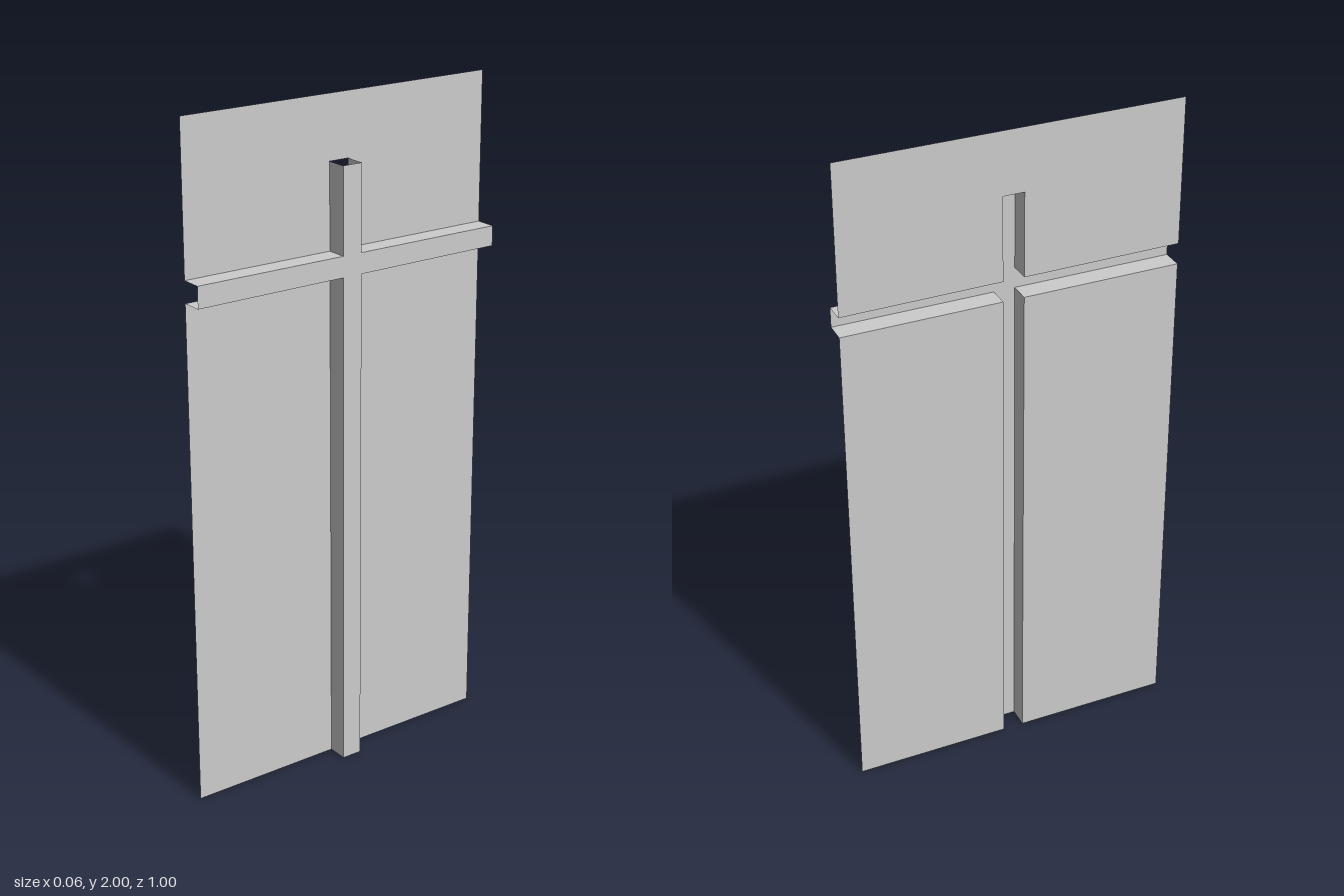
import * as THREE from 'three';

const material = new THREE.MeshStandardMaterial({ color: 0xcccccc, flatShading: true, side: THREE.DoubleSide });

// Local layout: u across the panel (u = -z), v up, w = depth (becomes x).
const D = 0.031;              // half depth of the raised cross
const P = 0.031;              // half width of the post
const W = 0.5, H = 2;         // half width and height of the panel
const armLow = 1.503, postTop = 1.815;
const armHighAt = u => 1.564 - 0.004 * u; // upper arm edge slopes very slightly

// Flat polygon facing +x at the given depth
function sheet(points, depth) {
  const shape = new THREE.Shape(points.map(([u, v]) => new THREE.Vector2(u, v)));
  return new THREE.ShapeGeometry(shape).translate(0, 0, depth);
}

// Ribbon along a path, running from the panel plane to the cross face
function ribbon(points) {
  const pos = [];
  for (let i = 0; i < points.length - 1; i++) {
    const [a, b] = [points[i], points[i + 1]];
    pos.push(...a, -D, ...b, -D, ...b, D, ...a, -D, ...b, D, ...a, D);
  }
  const g = new THREE.BufferGeometry();
  g.setAttribute('position', new THREE.Float32BufferAttribute(pos, 3));
  g.computeVertexNormals();
  return g;
}

export function createModel() {
  const group = new THREE.Group();
  const add = (name, geometry) => {
    const mesh = new THREE.Mesh(geometry.rotateY(Math.PI / 2), material);
    mesh.name = name;
    group.add(mesh);
  };

  // Edges of the cross, counter-clockwise; its four ends stay open
  const lowerRight = [[P, 0], [P, armLow], [W, armLow]];
  const upperRight = [[W, armHighAt(W)], [P, armHighAt(P)], [P, postTop]];
  const upperLeft = [[-P, postTop], [-P, armHighAt(-P)], [-W, armHighAt(-W)]];
  const lowerLeft = [[-W, armLow], [-P, armLow], [-P, 0]];

  // Raised face of the cross and the walls joining it to the panel
  add('crossFace', sheet([...lowerRight, ...upperRight, ...upperLeft, ...lowerLeft], D));
  add('lowerRearWall', ribbon(lowerRight));
  add('upperRearWall', ribbon(upperRight));
  add('upperFrontWall', ribbon(upperLeft));
  add('lowerFrontWall', ribbon(lowerLeft));

  // Back panel, cut away behind the cross
  add('lowerRearPanel', sheet([...lowerRight, [W, 0]], -D));
  add('lowerFrontPanel', sheet([...lowerLeft, [-W, 0]], -D));
  add('upperPanel', sheet([...upperRight, ...upperLeft, [-W, H], [W, H]], -D));
  return group;
}
